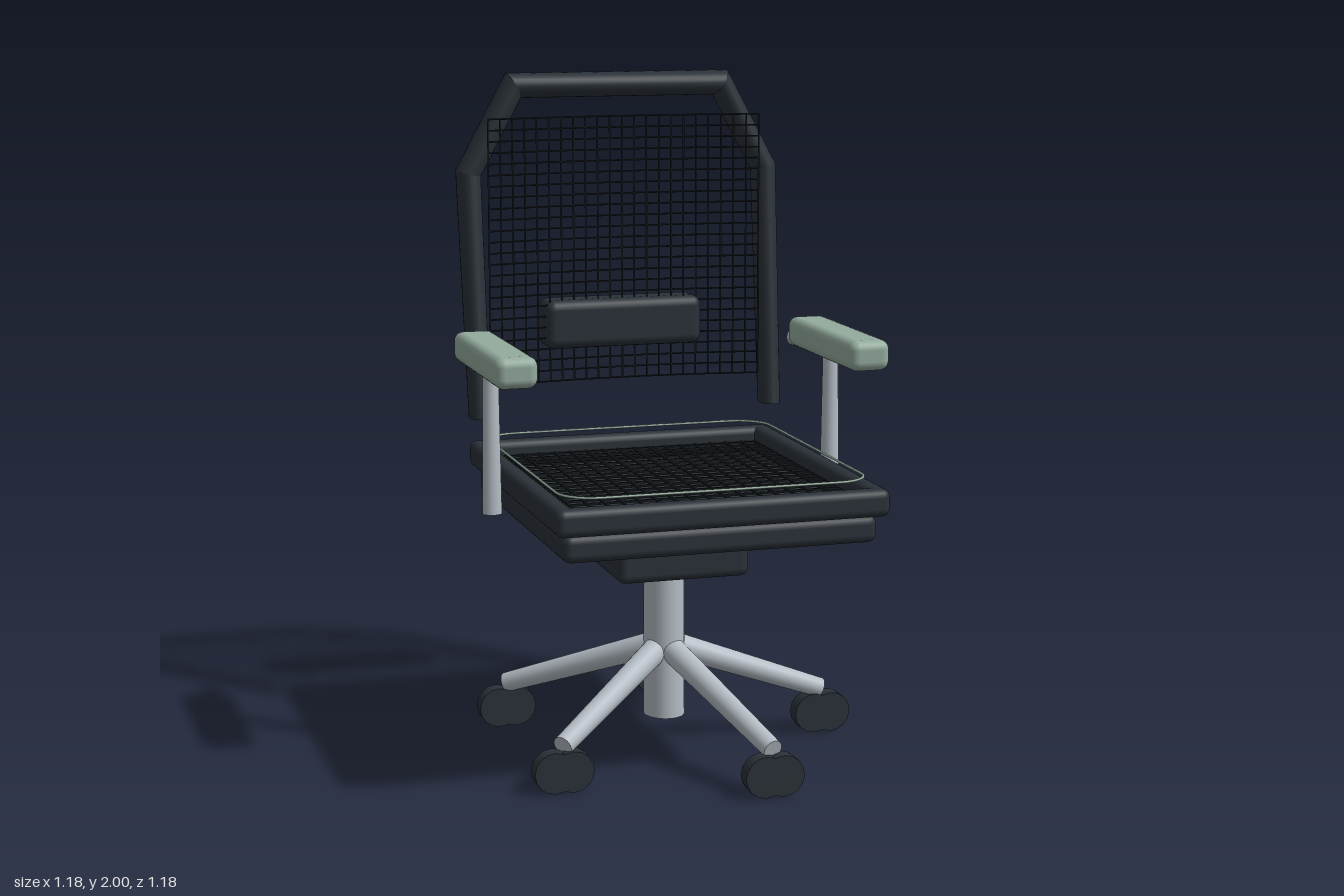
import * as THREE from 'three';
import { RoundedBoxGeometry } from 'three/addons/geometries/RoundedBoxGeometry.js';
import { mergeGeometries } from 'three/addons/utils/BufferGeometryUtils.js';

const V = (x, y, z) => new THREE.Vector3(x, y, z);
const material = (color) => new THREE.MeshStandardMaterial({ color });
const axisZ = -0.013; // the column and arm posts stand slightly behind the middle

export function createModel() {
  const model = new THREE.Group();
  const dark = material(0x2a3138), steel = material(0xb4bcc4);
  const sage = material(0x93ab9d), thread = material(0x14181b);

  const add = (name, geometry, mat) => {
    const mesh = new THREE.Mesh(geometry, mat);
    mesh.name = name;
    model.add(mesh);
    return mesh;
  };
  // Rounded box given by its lowest and highest corners
  const pad = (name, [x0, y0, z0], [x1, y1, z1], r, mat) =>
    add(name, new RoundedBoxGeometry(x1 - x0, y1 - y0, z1 - z0, 3, r), mat)
      .position.set((x0 + x1) / 2, (y0 + y1) / 2, (z0 + z1) / 2);
  // Round bar between two points
  const rod = (name, a, b, ra, rb, mat) => {
    const d = b.clone().sub(a);
    const mesh = add(name, new THREE.CylinderGeometry(rb, ra, d.length(), 20), mat);
    mesh.position.copy(a).add(b).multiplyScalar(0.5);
    mesh.quaternion.setFromUnitVectors(V(0, 1, 0), d.normalize());
  };

  // Seat: solid base with a raised rim around the webbing
  pad('seatBase', [-0.46, 0.72, -0.455], [0.46, 0.8, 0.555], 0.025, dark);
  pad('seatRimFront', [-0.487, 0.8, 0.53], [0.487, 0.88, 0.59], 0.024, dark);
  pad('seatRimBack', [-0.487, 0.8, -0.485], [0.487, 0.88, -0.425], 0.024, dark);
  for (const [side, x] of [['Left', 0.457], ['Right', -0.457]])
    pad('seatRim' + side, [x - 0.03, 0.8, -0.485], [x + 0.03, 0.88, 0.59], 0.024, dark);

  // Seat webbing: straight threads in both directions
  const threads = [];
  const bar = (w, h, d, x, y, z) => threads.push(new THREE.BoxGeometry(w, h, d).translate(x, y, z));
  for (let i = 0; i <= 17; i++) bar(0.008, 0.006, 0.98, -0.43 + (0.86 * i) / 17, 0.835, 0.053);
  for (let i = 0; i <= 19; i++) bar(0.88, 0.006, 0.008, 0, 0.835, -0.41 + (0.93 * i) / 19);
  add('seatMesh', mergeGeometries(threads), thread);

  // Piping around the seat: rounded rectangle
  const piping = [];
  const corners = [[1, 1], [-1, 1], [-1, -1], [1, -1]];
  corners.forEach(([sx, sz], k) => {
    for (let i = 0; i <= 8; i++) {
      const a = (k + i / 8) * Math.PI / 2;
      piping.push(V(sx * 0.35 + 0.1 * Math.cos(a), 0.9, 0.05 + sz * 0.393 + 0.1 * Math.sin(a)));
    }
  });
  const loop = new THREE.CurvePath();
  piping.forEach((p, i) => loop.add(new THREE.LineCurve3(p, piping[(i + 1) % piping.length])));
  add('seatPiping', new THREE.TubeGeometry(loop, 160, 0.004, 6, true), sage);

  // Back frame: elliptical section swept along a mitred path
  const half = [V(0.467, 0.963, -0.405), V(0.473, 1.7, -0.495), V(0.33, 1.963, -0.495)];
  const path = [...half, ...half.slice().reverse().map((p) => V(-p.x, p.y, p.z))];
  const sides = 24;
  const rings = path.map((p, i) => {
    const before = path[Math.max(i - 1, 0)], after = path[Math.min(i + 1, path.length - 1)];
    const dirIn = p.clone().sub(before).setZ(0).normalize();
    const dirOut = after.clone().sub(p).setZ(0).normalize();
    const t = dirIn.clone().add(dirOut).normalize();
    const stretch = 1 / t.dot(dirOut.lengthSq() ? dirOut : dirIn);
    const isEnd = i === 0 || i === path.length - 1;
    const out = V(t.y, -t.x, 0).multiplyScalar((isEnd ? 0.033 : 0.038) * stretch);
    return Array.from({ length: sides + 1 }, (_, j) => {
      const a = (j / sides) * Math.PI * 2;
      return p.clone().addScaledVector(out, Math.cos(a)).add(V(0, 0, 0.05 * Math.sin(a)));
    });
  });
  const pieces = [];
  const piece = (points, index) => {
    const g = new THREE.BufferGeometry().setFromPoints(points);
    g.setIndex(index);
    g.computeVertexNormals();
    pieces.push(g);
  };
  for (let i = 0; i < rings.length - 1; i++) {
    const index = [];
    for (let j = 0; j < sides; j++) {
      const c = j + sides + 1;
      index.push(j, c, j + 1, j + 1, c, c + 1);
    }
    piece([...rings[i], ...rings[i + 1]], index);
  }
  // Flat ends of the two uprights
  for (const i of [0, rings.length - 1]) {
    const index = [];
    for (let j = 0; j < sides; j++) index.push(sides + 1, ...(i === 0 ? [j, j + 1] : [j + 1, j]));
    piece([...rings[i], path[i]], index);
  }
  const frameMat = dark.clone();
  frameMat.side = THREE.DoubleSide;
  add('backFrame', mergeGeometries(pieces), frameMat);

  // Back webbing: bowed towards the rear in the middle
  const bow = (x) => -0.45 + 0.04 * (x / 0.43) ** 2;
  const net = [];
  for (let i = 0; i <= 22; i++) {
    const x = -0.43 + (0.86 * i) / 22;
    net.push(new THREE.BoxGeometry(0.004, 0.81, 0.004).translate(x, 1.463, bow(x)));
  }
  for (let i = 0; i <= 24; i++) {
    const y = 1.058 + (0.81 * i) / 24;
    const curve = new THREE.CatmullRomCurve3([-0.43, -0.21, 0, 0.21, 0.43].map((x) => V(x, y, bow(x))));
    net.push(new THREE.TubeGeometry(curve, 12, 0.0025, 4));
  }
  add('backMesh', mergeGeometries(net), thread);
  pad('lumbarPad', [-0.25, 1.158, -0.543], [0.25, 1.308, -0.415], 0.03, dark);

  // Armrests
  for (const [side, s] of [['left', 1], ['right', -1]]) {
    const x = 0.525 * s;
    pad(side + 'ArmPad', [x - 0.062, 1.17, -0.235], [x + 0.062, 1.26, 0.32], 0.028, sage);
    rod(side + 'ArmPost', V(x, 0.75, axisZ), V(x, 1.19, axisZ), 0.029, 0.023, steel);
    rod(side + 'ArmBar', V(x, 1.183, axisZ), V(x, 1.178, -0.33), 0.022, 0.027, steel);
  }

  // Tilt mechanism, lever and column
  pad('mechanism', [-0.2, 0.558, -0.218], [0.2, 0.688, 0.2], 0.025, dark);
  rod('lever', V(0.15, 0.638, axisZ), V(0.45, 0.657, axisZ), 0.017, 0.015, dark);
  const column = add('column', new THREE.CylinderGeometry(0.071, 0.071, 0.61, 32), steel);
  column.scale.x = 0.86;
  column.position.set(0, 0.405, axisZ);

  // Five spokes, each with a pair of caster wheels
  for (let i = 0; i < 5; i++) {
    const a = (i * Math.PI * 2) / 5;
    const at = (r, y) => V(0.86 * r * Math.cos(a), y, axisZ + 0.99 * r * Math.sin(a));
    rod('spoke', at(0.035, 0.31), at(0.585, 0.134), 0.039, 0.03, steel);
    const hub = at(0.585, 0.061);
    for (const s of [-1, 1]) {
      const wheel = add('casterWheel', new THREE.CylinderGeometry(0.061, 0.061, 0.05, 16), dark);
      wheel.rotation.x = Math.PI / 2;
      wheel.position.set(hub.x + s * 0.027, hub.y, hub.z);
    }
  }
  return model;
}
